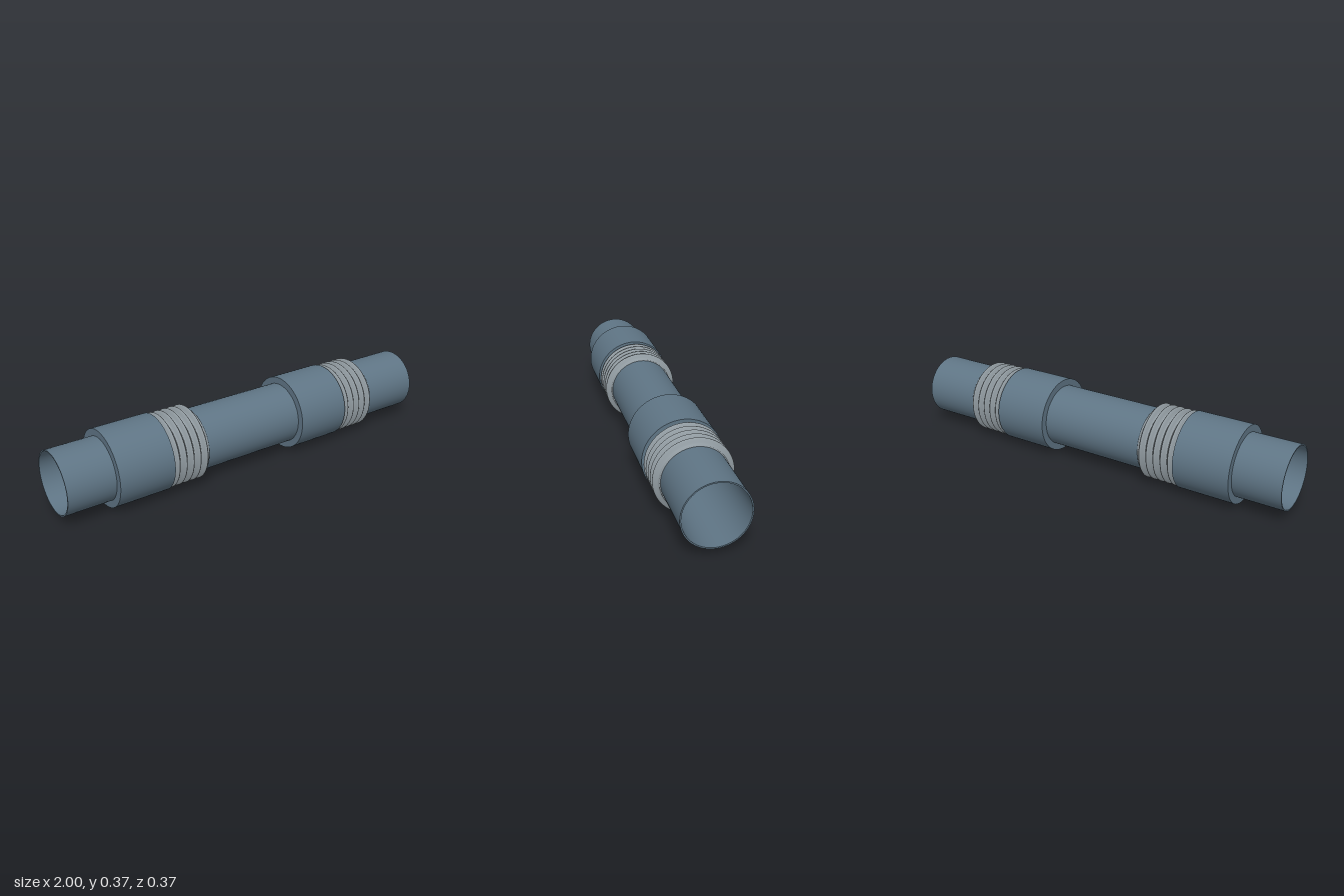
import * as THREE from 'three';
import { toCreasedNormals } from 'three/addons/utils/BufferGeometryUtils.js';

const AXIS_Y = 0.1865;
const PIPE_R = 0.151, BORE_R = 0.145, SLEEVE_R = 0.1845;
const SEGMENTS = 80;

const steel = new THREE.MeshStandardMaterial({ color: 0x5f7585 });
const bellowsMetal = new THREE.MeshStandardMaterial({ color: 0x929ca2 });

// Revolve a profile of [x, radius] pairs about the pipe axis
function revolve(name, profile, material, crease) {
  const points = profile.map(([x, r]) => new THREE.Vector2(r, x));
  let geometry = new THREE.LatheGeometry(points, SEGMENTS);
  geometry.rotateZ(-Math.PI / 2);
  if (crease) geometry = toCreasedNormals(geometry, 0.6);
  const mesh = new THREE.Mesh(geometry, material);
  mesh.name = name;
  return mesh;
}

// Hollow tube with flat ring ends
function tube(name, x0, x1, inner, outer, material) {
  const profile = [[x0, inner], [x0, outer], [x1, outer], [x1, inner], [x0, inner]];
  return revolve(name, profile, material, true);
}

// Corrugated profile: five rounded ridges between two short cuffs
function bellowsProfile(x0, x1) {
  const ridges = 5, steps = 12, cuff = 0.006;
  const valley = 0.156, peak = 0.181;
  const start = x0 + cuff, length = x1 - x0 - 2 * cuff;
  const profile = [[x0, PIPE_R], [x0, valley]];
  for (let i = 0; i <= ridges * steps; i++) {
    const t = i / (ridges * steps);
    const wave = 0.5 - 0.5 * Math.cos(t * ridges * Math.PI * 2);
    profile.push([start + t * length, valley + (peak - valley) * wave]);
  }
  profile.push([x1, valley], [x1, PIPE_R]);
  return profile;
}

export function createModel() {
  const model = new THREE.Group();
  model.name = 'expansionJointPipe';

  // Straight pipe running through both joints
  model.add(tube('pipe', -1, 1, BORE_R, PIPE_R, steel));

  // Two identical joints: a thick sleeve followed by a bellows
  [-0.5, 0.5].forEach((x, i) => {
    const joint = new THREE.Group();
    joint.name = i === 0 ? 'rightJoint' : 'leftJoint';
    joint.add(tube('sleeve', -0.27, 0.005, PIPE_R - 0.002, SLEEVE_R, steel));
    joint.add(revolve('bellows', bellowsProfile(0.005, 0.203), bellowsMetal, false));
    joint.position.x = x;
    model.add(joint);
  });

  model.children.forEach((part) => { part.position.y = AXIS_Y; });
  return model;
}
